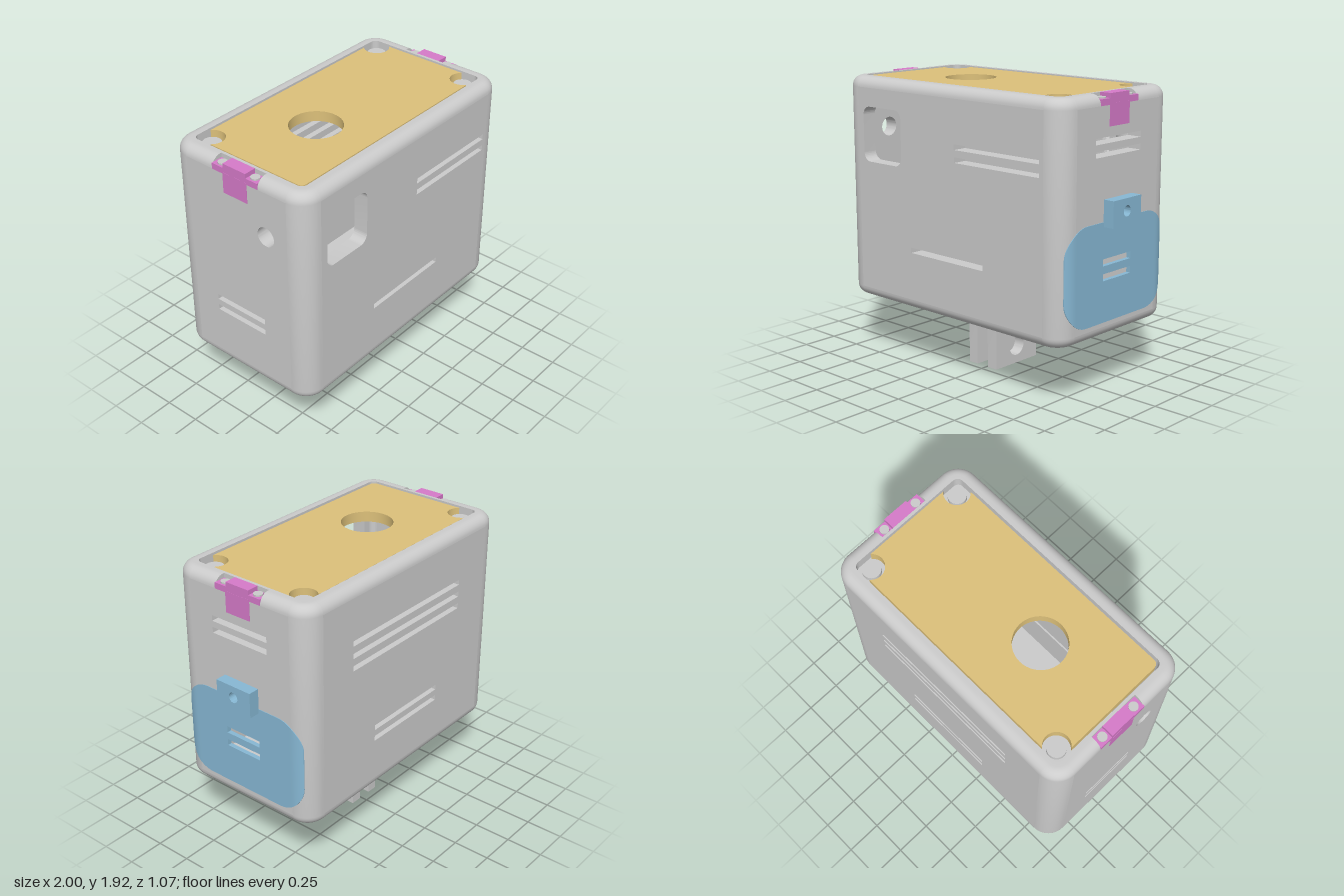
import * as THREE from 'three';
import { toCreasedNormals } from 'three/addons/utils/BufferGeometryUtils.js';

const X0 = -1, X1 = 0.925, Z = 0.535, Y0 = 0.4, Y1 = 1.92; // housing bounds
const R = 0.14, F = 0.07, T = 0.1;                         // corner radius, edge fillet, wall
const CX = (X0 + X1) / 2;
const mat = (color) => new THREE.MeshStandardMaterial({ color, side: THREE.DoubleSide });

export function createModel() {
  const grey = mat(0xcccccc), blue = mat(0x87b8d4), pink = mat(0xd67ac9), tan = mat(0xdcc07a);
  const model = new THREE.Group();

  const add = (parent, name, geo, material = grey) => {
    const m = new THREE.Mesh(toCreasedNormals(geo, 0.6), material);
    m.name = name;
    parent.add(m);
    return m;
  };
  const group = (name, parent = model) => {
    const g = new THREE.Group();
    g.name = name;
    parent.add(g);
    return g;
  };
  // box given by its minimum and maximum corners
  const box = (x0, x1, y0, y1, z0, z1) => new THREE.BoxGeometry(x1 - x0, y1 - y0, z1 - z0)
    .translate((x0 + x1) / 2, (y0 + y1) / 2, (z0 + z1) / 2);
  const extrude = (shape, depth) =>
    new THREE.ExtrudeGeometry(shape, { depth, bevelEnabled: false, curveSegments: 24 });
  const rect = (a, b, c, d, r = 0) => {
    const s = new THREE.Shape();
    if (!r) return s.moveTo(a, c).lineTo(b, c).lineTo(b, d).lineTo(a, d).closePath();
    s.absarc(b - r, c + r, r, -Math.PI / 2, 0);
    s.absarc(b - r, d - r, r, 0, Math.PI / 2);
    s.absarc(a + r, d - r, r, Math.PI / 2, Math.PI);
    s.absarc(a + r, c + r, r, Math.PI, Math.PI * 1.5);
    return s.closePath();
  };
  const circle = (u, v, r) => new THREE.Shape().absarc(u, v, r, 0, Math.PI * 2);
  const slots = (a, b, heights, h = 0.036) => heights.map((y) => rect(a, b, y - h / 2, y + h / 2));
  const pierced = (shape, holes) => { shape.holes.push(...holes); return shape; };
  // a plate drawn in (z, y), whose outer face lies at x
  const sidePlate = (shape, x, t) => extrude(shape, t).rotateY(-Math.PI / 2).translate(x, 0, 0);

  // --- housing: pierced walls, rounded corner columns and filleted rims
  const housing = group('housing');
  const frontX = [X0 + R, X1 - R], sideZ = [-Z + R, Z - R], wallY = [Y0 + F, Y1 - F];
  add(housing, 'frontWall', extrude(pierced(rect(...frontX, ...wallY), [
    rect(-0.81, -0.445, 1.355, 1.725, 0.06),
    ...slots(0.045, 0.755, [1.547, 1.465]),
    ...slots(-0.365, 0.29, [0.81]),
  ]), T).translate(0, 0, Z - T));
  add(housing, 'backWall', extrude(pierced(rect(...frontX, ...wallY), [
    ...slots(-0.58, 0.51, [1.55, 1.465, 1.38]),
    ...slots(-0.365, 0.29, [0.855, 0.775]),
  ]), T).translate(0, 0, -Z));
  add(housing, 'leftWall', sidePlate(pierced(rect(...sideZ, ...wallY), [
    ...slots(-0.22, 0.22, [1.64, 1.56], 0.038),
    rect(-0.38, 0.38, 0.54, 1.1),
  ]), X1, T));
  add(housing, 'rightWall', sidePlate(pierced(rect(...sideZ, ...wallY), [
    ...slots(-0.21, 0.19, [0.895, 0.815], 0.038),
    circle(0.23, 1.545, 0.065),
  ]), X0 + T, T));
  add(housing, 'floor', box(X0 + T, X1 - T, Y0, Y0 + 0.08, -Z + T, Z - T));

  // fillet profiles, measured from the outer face
  const arc = (cy, from) => Array.from({ length: 9 }, (_, i) => {
    const a = from + (i / 8) * Math.PI / 2;
    return new THREE.Vector2(-F + F * Math.cos(a), cy + F * Math.sin(a));
  });
  const lower = arc(wallY[0], -Math.PI / 2), upper = arc(wallY[1], 0);
  const inner = (y) => new THREE.Vector2(-T, y);
  const rimShapes = {
    bottom: new THREE.Shape([...lower, inner(wallY[0]), inner(Y0)]),
    top: new THREE.Shape([...upper, inner(Y1), inner(wallY[1])]),
  };
  const rim = (kind, angle, x, z, len) => add(housing, kind + 'Rim',
    extrude(rimShapes[kind], len).translate(0, 0, -len / 2).rotateY(angle).translate(x, 0, z));
  const longLen = X1 - X0 - 2 * R, shortLen = 2 * (Z - R), gap = 0.18;
  for (const kind of ['bottom', 'top']) {
    rim(kind, -Math.PI / 2, CX, Z, longLen);
    rim(kind, Math.PI / 2, CX, -Z, longLen);
  }
  for (const [angle, x] of [[0, X1], [Math.PI, X0]]) {
    rim('bottom', angle, x, 0, shortLen);
    // the top rim leaves a gap for the clip
    for (const s of [-1, 1]) rim('top', angle, x, s * (gap + Z - R) / 2, Z - R - gap);
  }
  const column = [...lower, ...upper, inner(Y1), inner(Y0), lower[0]]
    .map((p) => new THREE.Vector2(p.x + R, p.y));
  [[X1 - R, Z - R], [X1 - R, -Z + R], [X0 + R, -Z + R], [X0 + R, Z - R]].forEach(([x, z], i) =>
    add(housing, 'cornerColumn',
      new THREE.LatheGeometry(column, 12, i * Math.PI / 2, Math.PI / 2).translate(x, 0, z)));

  // --- screw posts under three corners of the lid
  const posts = [[-0.82, -0.36], [0.75, -0.36], [0.75, 0.355]];
  for (const [x, z] of posts) {
    add(housing, 'screwPost', new THREE.CylinderGeometry(0.1, 0.1, 0.305, 32).translate(x, 1.6925, z));
    add(housing, 'screwHead', new THREE.CylinderGeometry(0.06, 0.06, 0.04, 32).translate(x, 1.86, z));
  }

  // --- lid with a round opening and notched corners
  const lid = new THREE.Shape();
  lid.moveTo(-0.845, 0.42);
  lid.quadraticCurveTo(-0.885, 0.42, -0.885, 0.38);
  const notch = ([x, z], from, to) => lid.absarc(x, z, 0.085, from, to, true);
  notch(posts[0], 2.44, -0.868);
  notch(posts[1], Math.PI + 0.868, Math.PI - 2.44);
  notch(posts[2], -0.702, -4.01);
  lid.closePath();
  lid.holes.push(circle(-0.31, 0.02, 0.17));
  add(model, 'lid', extrude(lid, 0.07).rotateX(Math.PI / 2).translate(0, 1.913, 0), tan);

  // --- clips on the two short sides, the second turned half round
  for (const [x, turn] of [[X1, 0], [X0, Math.PI]]) {
    const clip = group('clip');
    clip.position.x = x;
    clip.rotation.y = turn;
    add(clip, 'clipBar', box(-0.08, 0.002, 1.85, 1.89, -gap, gap), pink);
    add(clip, 'clipCentre', box(-0.08, 0.002, 1.89, Y1, -0.09, 0.09), pink);
    add(clip, 'clipTongue', box(-0.03, 0.003, 1.72, 1.86, -0.095, 0.095), pink);
    add(clip, 'clipSeat', box(-T, -0.08, 1.85, Y1, -gap, gap));
    for (const s of [-1, 1])
      add(clip, 'clipScrew',
        new THREE.CylinderGeometry(0.03, 0.03, 0.03, 24).translate(-0.04, 1.885, s * 0.13));
  }

  // --- door: flat middle and two ends wrapped around the housing corners
  const door = group('door');
  const doorX = X1 + 0.004, midY = 0.82, half = 0.32, dr = 0.185, flat = 0.29, thick = 0.03;
  add(door, 'doorPanel', sidePlate(pierced(rect(-flat, flat, midY - half, midY + half),
    slots(-0.137, 0.137, [0.885, 0.79], 0.045)), doorX, thick), blue);
  const pos = [], index = [], N = 16;
  for (let i = 0; i <= N; i++) {
    const a = (i / N) * Math.PI / 2, z = flat + dr * Math.sin(a);
    const h = half - dr + dr * Math.cos(a);
    const bend = Math.max(0, z - (Z - R)), r = R + 0.004;
    const xo = X1 - R + Math.sqrt(r * r - bend * bend), xi = xo - thick;
    pos.push(xo, midY - h, z, xo, midY + h, z, xi, midY + h, z, xi, midY - h, z);
    if (i === N) continue;
    for (let j = 0; j < 4; j++) {
      const p = i * 4 + j, q = i * 4 + (j + 1) % 4;
      index.push(p, q, q + 4, p, q + 4, p + 4);
    }
  }
  index.push(N * 4 + 3, N * 4, N * 4 + 1, N * 4 + 3, N * 4 + 1, N * 4 + 2);
  const end = new THREE.BufferGeometry();
  end.setAttribute('position', new THREE.Float32BufferAttribute(pos, 3));
  end.setIndex(index);
  end.computeVertexNormals();
  add(door, 'doorEnd', end.clone(), blue);
  add(door, 'doorEnd', end.clone().rotateX(Math.PI).translate(0, 2 * midY, 0), blue);
  add(door, 'doorTab', sidePlate(pierced(rect(-0.138, 0.135, 1.11, 1.28),
    [circle(0, 1.2, 0.035)]), 1, 0.076), blue);

  // --- mounting lugs below, flared where they meet the floor
  const mount = group('mount');
  for (const [x0, x1] of [[-0.16, -0.085], [0.01, 0.09]]) {
    const lug = new THREE.Shape().moveTo(-0.2, 0).lineTo(0.2, 0).lineTo(0.2, 0.38)
      .quadraticCurveTo(0.2, 0.4, 0.22, 0.402).lineTo(-0.22, 0.402)
      .quadraticCurveTo(-0.2, 0.4, -0.2, 0.38).closePath();
    add(mount, 'lug', sidePlate(pierced(lug, [circle(0, 0.125, 0.07)]), x1, x1 - x0));
  }
  return model;
}
